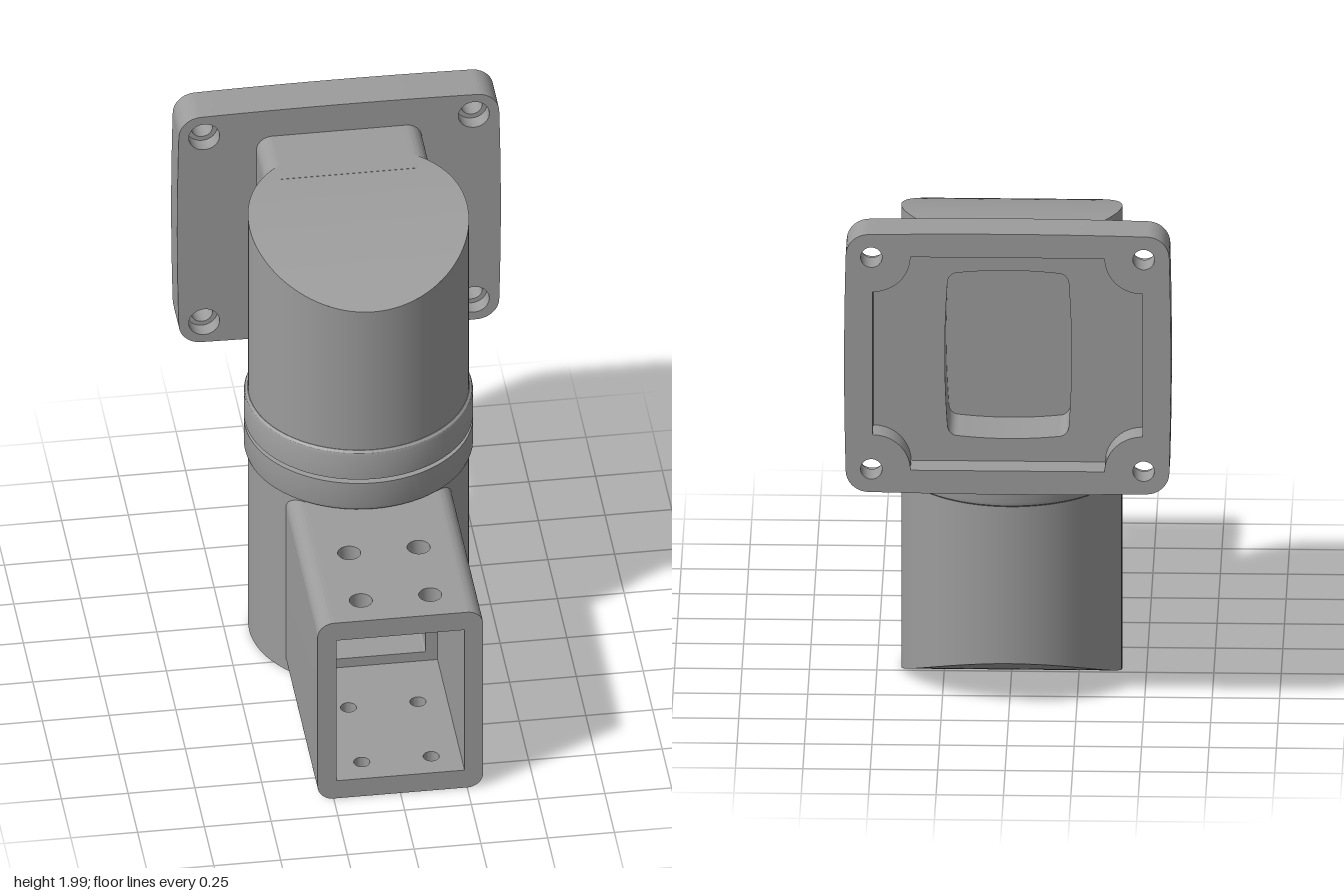
import * as THREE from 'three';
import { toCreasedNormals } from 'three/addons/utils/BufferGeometryUtils.js';

const AXIS_Z = -0.215, R = 0.41;

// Rectangle outline with rounded corners and slightly bulging edges
function roundedRect(PathType, w, h, r, bulge = 0) {
  const p = new PathType();
  p.moveTo(-w + r, -h);
  p.quadraticCurveTo(0, -h - 2 * bulge, w - r, -h);
  p.absarc(w - r, -h + r, r, -Math.PI / 2, 0, false);
  p.quadraticCurveTo(w + 2 * bulge, 0, w, h - r);
  p.absarc(w - r, h - r, r, 0, Math.PI / 2, false);
  p.quadraticCurveTo(0, h + 2 * bulge, -w + r, h);
  p.absarc(-w + r, h - r, r, Math.PI / 2, Math.PI, false);
  p.quadraticCurveTo(-w - 2 * bulge, 0, -w, -h + r);
  p.absarc(-w + r, -h + r, r, Math.PI, Math.PI * 1.5, false);
  return p;
}

// Rectangle whose corners are scooped out around the screw bosses
function scoopedRect(w, h, r) {
  const p = new THREE.Path();
  const q = Math.PI / 2;
  p.moveTo(-w + r, -h);
  p.absarc(w, -h, r, 2 * q, q, true);
  p.absarc(w, h, r, 3 * q, 2 * q, true);
  p.absarc(-w, h, r, 4 * q, 3 * q, true);
  p.absarc(-w, -h, r, q, 0, true);
  return p;
}

function circle(x, y, r) {
  const p = new THREE.Path();
  p.absarc(x, y, r, 0, Math.PI * 2, false);
  return p;
}

// Extrude a shape along z between two depths
function slab(shape, zBack, zFront) {
  const g = new THREE.ExtrudeGeometry(shape, { depth: zFront - zBack, bevelEnabled: false, curveSegments: 12 });
  g.translate(0, 0, zBack);
  return toCreasedNormals(g, 0.5);
}

// Cylinder wall with an opening of half angle `gap` centred on angle `dir`; ends follow height rules
function bodyWall(bottom, top, dir, gap) {
  const g = new THREE.CylinderGeometry(R, R, 1, 72, 1, true, dir + gap, Math.PI * 2 - 2 * gap);
  const p = g.attributes.position;
  for (let i = 0; i < p.count; i++) p.setY(i, p.getY(i) > 0 ? top(p.getZ(i)) : bottom(p.getZ(i)));
  return g;
}

// Disc bent to a height rule, facing up or down
function bodyCap(height, up) {
  const g = new THREE.PlaneGeometry(2, 2, 1, 48);
  g.rotateX(up ? -Math.PI / 2 : Math.PI / 2);
  const p = g.attributes.position;
  for (let i = 0; i < p.count; i++) {
    const a = p.getZ(i) * Math.PI / 2, z = R * Math.sin(a);
    p.setXYZ(i, p.getX(i) * R * Math.cos(a), height(z), z);
  }
  g.computeVertexNormals();
  return toCreasedNormals(g, 0.15);
}

export function createModel() {
  const model = new THREE.Group();
  const grey = new THREE.MeshStandardMaterial({ color: 0x9c9c9c });
  const add = (name, geometry, x = 0, y = 0, z = 0) => {
    const m = new THREE.Mesh(geometry, grey);
    m.name = name;
    m.position.set(x, y, z);
    model.add(m);
    return m;
  };

  // Lower and upper swivel bodies, with curved end faces
  const gap = Math.asin(0.245 / R);
  const lowerEnd = z => (z < 0 ? -0.3 * z + 0.33 * z * z : 0);
  const upperEnd = z => {
    const d = Math.max(0, z + AXIS_Z + 0.5);
    return 1.875 - d * d / 2.8;
  };
  add('lowerBody', bodyWall(lowerEnd, () => 0.82, 0, gap), 0, 0, AXIS_Z);
  add('lowerBodyEnd', bodyCap(lowerEnd, false), 0, 0, AXIS_Z);
  add('upperBody', bodyWall(() => 1.05, upperEnd, Math.PI, gap), 0, 0, AXIS_Z);
  add('upperBodyEnd', bodyCap(upperEnd, true), 0, 0, AXIS_Z);

  // Swivel collars and the pivot between them
  const lathe = pts => toCreasedNormals(new THREE.LatheGeometry(pts.map(p => new THREE.Vector2(...p)), 72), 0.4);
  add('lowerCollar', lathe([[0, 0.805], [0.412, 0.805], [0.421, 0.812], [0.425, 0.825], [0.425, 0.932], [0, 0.932]]), 0, 0, AXIS_Z);
  add('upperCollar', lathe([[0, 0.95], [0.425, 0.95], [0.425, 1.055], [0.421, 1.067], [0.412, 1.074], [0, 1.074]]), 0, 0, AXIS_Z);
  add('pivot', new THREE.CylinderGeometry(0.1, 0.1, 0.04, 32), 0, 0.941, AXIS_Z);

  // Square tube socket: two side walls with rounded outer corners
  const side = new THREE.Shape();
  side.moveTo(0.24, 0);
  side.lineTo(0.25, 0);
  side.absarc(0.25, 0.06, 0.06, -Math.PI / 2, 0, false);
  side.absarc(0.25, 0.74, 0.06, 0, Math.PI / 2, false);
  side.lineTo(0.24, 0.8);
  for (const turn of [false, true]) {
    const g = slab(side, 0, 0.89);
    if (turn) g.rotateZ(Math.PI).translate(0, 0.8, 0);
    add(turn ? 'socketRightWall' : 'socketLeftWall', g);
  }

  // Socket top and bottom walls with bolt holes
  const drilled = (r, zs) => {
    const s = new THREE.Shape();
    s.moveTo(-0.24, 0).lineTo(0.24, 0).lineTo(0.24, 0.89).lineTo(-0.24, 0.89).closePath();
    for (const x of [-0.13, 0.13]) for (const z of zs) s.holes.push(circle(x, z, r));
    const g = slab(s, 0, 0.08);
    return g.rotateX(Math.PI / 2);
  };
  add('socketTopWall', drilled(0.043, [0.455, 0.76]), 0, 0.8, 0);
  add('socketBottomWall', drilled(0.03, [0.435, 0.785]), 0, 0.08, 0);

  // Stepped inner end of the socket
  const step = roundedRect(THREE.Shape, 0.245, 0.325, 0.01);
  step.holes.push(roundedRect(THREE.Path, 0.195, 0.28, 0.005));
  add('socketStep', slab(step, 0.06, 0.18), 0, 0.4, 0);
  add('socketFloor', new THREE.BoxGeometry(0.48, 0.64, 0.04), 0, 0.4, 0.04);

  // Neck joining the upper body to the flange, with a recess
  const MID = 1.475;
  const recess = () => roundedRect(THREE.Path, 0.225, 0.325, 0.04, 0.01);
  const neck = roundedRect(THREE.Shape, 0.31, 0.4, 0.06);
  neck.holes.push(recess());
  add('neck', slab(neck, -0.725, -0.45), 0, MID, 0);
  add('recessFloor', new THREE.BoxGeometry(0.5, 0.7, 0.04), 0, MID, -0.55);

  // Mounting flange: front plate with counterbores, rear rim around a pocket
  const plate = (holeRadius, opening) => {
    const s = roundedRect(THREE.Shape, 0.6, 0.513, 0.085, 0.006);
    s.holes.push(opening);
    for (const x of [-0.505, 0.505]) for (const y of [-0.422, 0.422]) s.holes.push(circle(x, y, holeRadius));
    return s;
  };
  add('flangePlate', slab(plate(0.058, recess()), -0.785, -0.725), 0, MID, 0);
  add('flangeRim', slab(plate(0.04, scoopedRect(0.5, 0.425, 0.14)), -0.885, -0.785), 0, MID, 0);

  return model;
}
